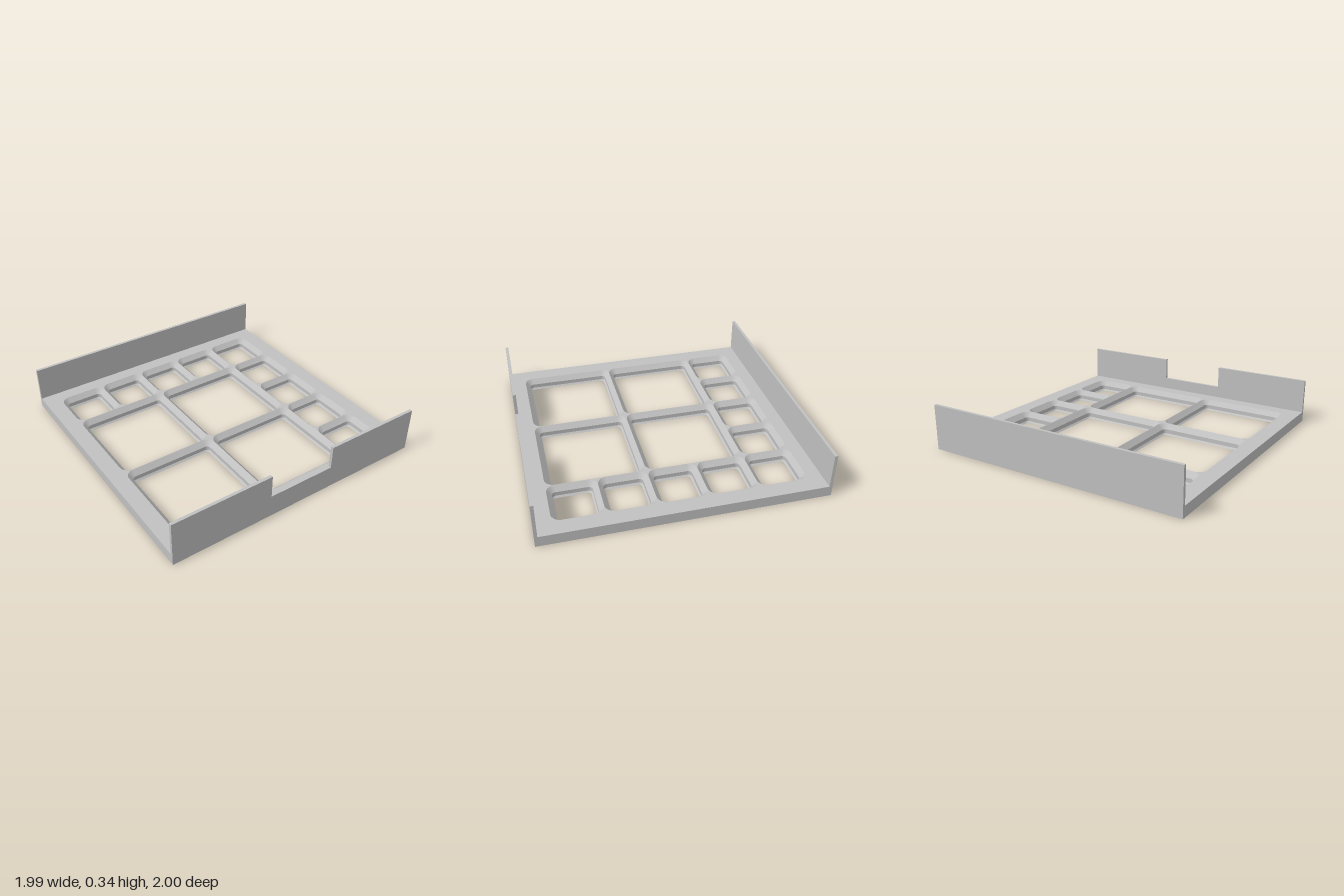
import * as THREE from 'three';
import { toCreasedNormals } from 'three/addons/utils/BufferGeometryUtils.js';

const HALF_X = 0.995, HALF_Z = 1, WALL = 0.022, WALL_H = 0.335;
const PLATE_H = 0.078, PITCH = 0.351, GRID_MIN = -2.5 * PITCH;
const LAND = 0.0008; // half of the thin ridge between neighbouring pockets

// Pocket wall from bottom to top: height, inset from the cell edge, corner radius
const PROFILE = [
  [0, 0.0476, 0.0192],
  [0.0117, 0.0359, 0.0309],
  [0.0418, 0.0359, 0.0309],
  [PLATE_H, LAND, 0.066],
];

// Points [x, z] of a rectangle with rounded corners
function roundedRect(cx, cz, half, r) {
  const pts = [], steps = 8;
  [[1, 1], [-1, 1], [-1, -1], [1, -1]].forEach(([sx, sz], q) => {
    for (let i = 0; i <= steps; i++) {
      const a = (q + i / steps) * Math.PI / 2;
      pts.push([cx + sx * (half - r) + r * Math.cos(a), cz + sz * (half - r) + r * Math.sin(a)]);
    }
  });
  return pts;
}

// Skin between stacked rings of equal point count
function loft(rings, heights) {
  const pos = [], idx = [], n = rings[0].length;
  rings.forEach((ring, k) => ring.forEach(([x, z]) => pos.push(x, heights[k], z)));
  for (let k = 0; k < rings.length - 1; k++) {
    for (let i = 0; i < n; i++) {
      const a = k * n + i, b = k * n + (i + 1) % n;
      idx.push(a, b, b + n, a, b + n, a + n);
    }
  }
  const geo = new THREE.BufferGeometry();
  geo.setAttribute('position', new THREE.Float32BufferAttribute(pos, 3));
  geo.setIndex(idx);
  return toCreasedNormals(geo, 0.5);
}

// Flat sheet with holes, facing up (dir 1) or down (dir -1)
function sheet(outline, holes, dir, y) {
  const toVec = (pts) => pts.map(([x, z]) => new THREE.Vector2(x, -dir * z));
  const shape = new THREE.Shape(toVec(outline));
  shape.holes = holes.map((h) => new THREE.Path(toVec(h)));
  return new THREE.ShapeGeometry(shape).rotateX(-dir * Math.PI / 2).translate(0, y, 0);
}

export function createModel() {
  const model = new THREE.Group();
  model.name = 'gridTray';
  const grey = new THREE.MeshStandardMaterial({ color: 0xc0c0c0 });
  grey.name = 'grey';
  const add = (name, geo, parent = model) => {
    const mesh = new THREE.Mesh(geo, grey);
    mesh.name = name;
    parent.add(mesh);
    return mesh;
  };

  // Cells as [column, row, size]: a row and a column of small ones, four large ones
  const cells = [];
  for (let i = 0; i < 5; i++) cells.push([i, 0, 1]);
  for (let j = 1; j < 5; j++) cells.push([4, j, 1]);
  for (const i of [0, 2]) for (const j of [1, 3]) cells.push([i, j, 2]);

  // Base plate with sloped, rounded pockets open through the bottom
  const plate = new THREE.Group();
  plate.name = 'basePlate';
  model.add(plate);
  const topHoles = [], bottomHoles = [];
  for (const [i, j, size] of cells) {
    const half = size * PITCH / 2;
    const cx = GRID_MIN + i * PITCH + half, cz = GRID_MIN + j * PITCH + half;
    const rings = PROFILE.map(([, inset, r]) => roundedRect(cx, cz, half - inset, r));
    add(size === 2 ? 'largePocket' : 'smallPocket', loft(rings, PROFILE.map((p) => p[0])), plate);
    bottomHoles.push(rings[0]);
    topHoles.push(rings[rings.length - 1]);
  }
  const z = HALF_Z - WALL;
  const outline = [[HALF_X, z], [-HALF_X, z], [-HALF_X, -z], [HALF_X, -z]];
  add('plateTop', sheet(outline, topHoles, 1, PLATE_H), plate);
  add('plateBottom', sheet(outline, bottomHoles, -1, 0), plate);
  const rim = [...outline].reverse();
  add('plateRim', loft([rim, rim], [0, PLATE_H]), plate);

  // Back wall
  add('backWall', new THREE.BoxGeometry(2 * HALF_X, WALL_H, WALL))
    .position.set(0, WALL_H / 2, -HALF_Z + WALL / 2);

  // Front wall with a central notch
  const nx = 0.252, ny = 0.167;
  const front = new THREE.Shape([
    [-HALF_X, 0], [HALF_X, 0], [HALF_X, WALL_H], [nx, WALL_H],
    [nx, ny], [-nx, ny], [-nx, WALL_H], [-HALF_X, WALL_H],
  ].map(([x, y]) => new THREE.Vector2(x, y)));
  add('frontWall', new THREE.ExtrudeGeometry(front, { depth: WALL, bevelEnabled: false }))
    .position.z = HALF_Z - WALL;

  return model;
}
